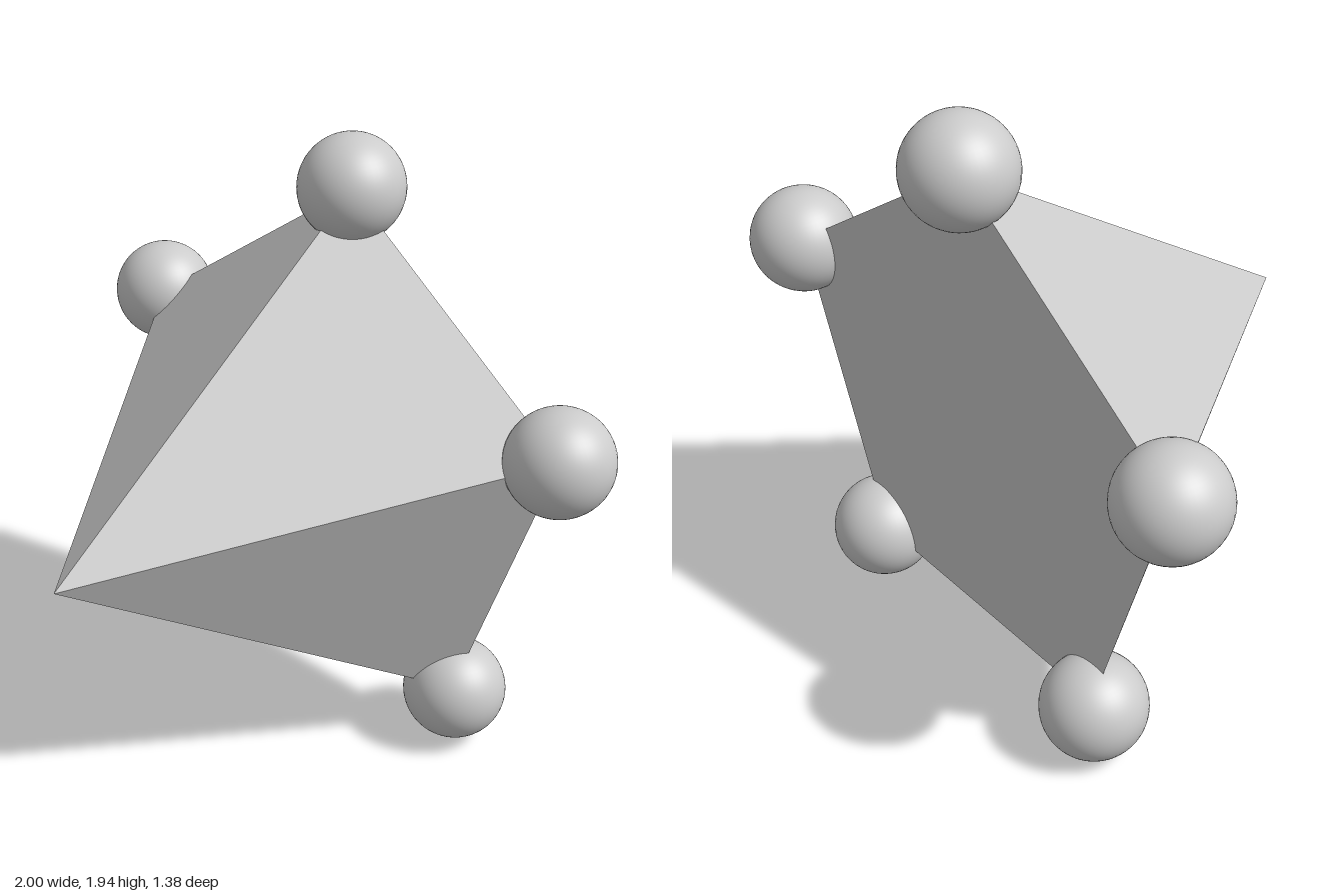
import * as THREE from 'three';

const CENTRE_Y = 0.888; // height of the pyramid axis
const RADIUS = 0.88; // centre to base corner
const BACK_Z = -0.527;
const APEX_Z = 0.692;

// ball centres as offsets from the axis, slightly uneven at the bottom
const BALLS = [
  ['topBall', 0, 1.773],
  ['upperLeftBall', 0.833, 1.163],
  ['upperRightBall', -0.833, 1.163],
  ['lowerLeftBall', 0.525, 0.185],
  ['lowerRightBall', -0.525, 0.167],
];

export function createModel() {
  const model = new THREE.Group();

  // five-sided pyramid lying on its side, apex forward, one corner up
  const pyramidGeometry = new THREE.ConeGeometry(RADIUS, APEX_Z - BACK_Z, 5, 1, false, Math.PI);
  pyramidGeometry.rotateX(Math.PI / 2);
  const pyramid = new THREE.Mesh(
    pyramidGeometry,
    new THREE.MeshStandardMaterial({ color: 0xcccccc, flatShading: true })
  );
  pyramid.name = 'pyramid';
  pyramid.position.set(0, CENTRE_Y, (APEX_Z + BACK_Z) / 2);
  model.add(pyramid);

  // smooth ball on every base corner
  const ballGeometry = new THREE.SphereGeometry(0.166, 48, 32);
  const ballMaterial = new THREE.MeshStandardMaterial({ color: 0xcccccc });
  for (const [name, x, y] of BALLS) {
    const ball = new THREE.Mesh(ballGeometry, ballMaterial);
    ball.name = name;
    ball.position.set(x, y, BACK_Z);
    model.add(ball);
  }

  return model;
}
